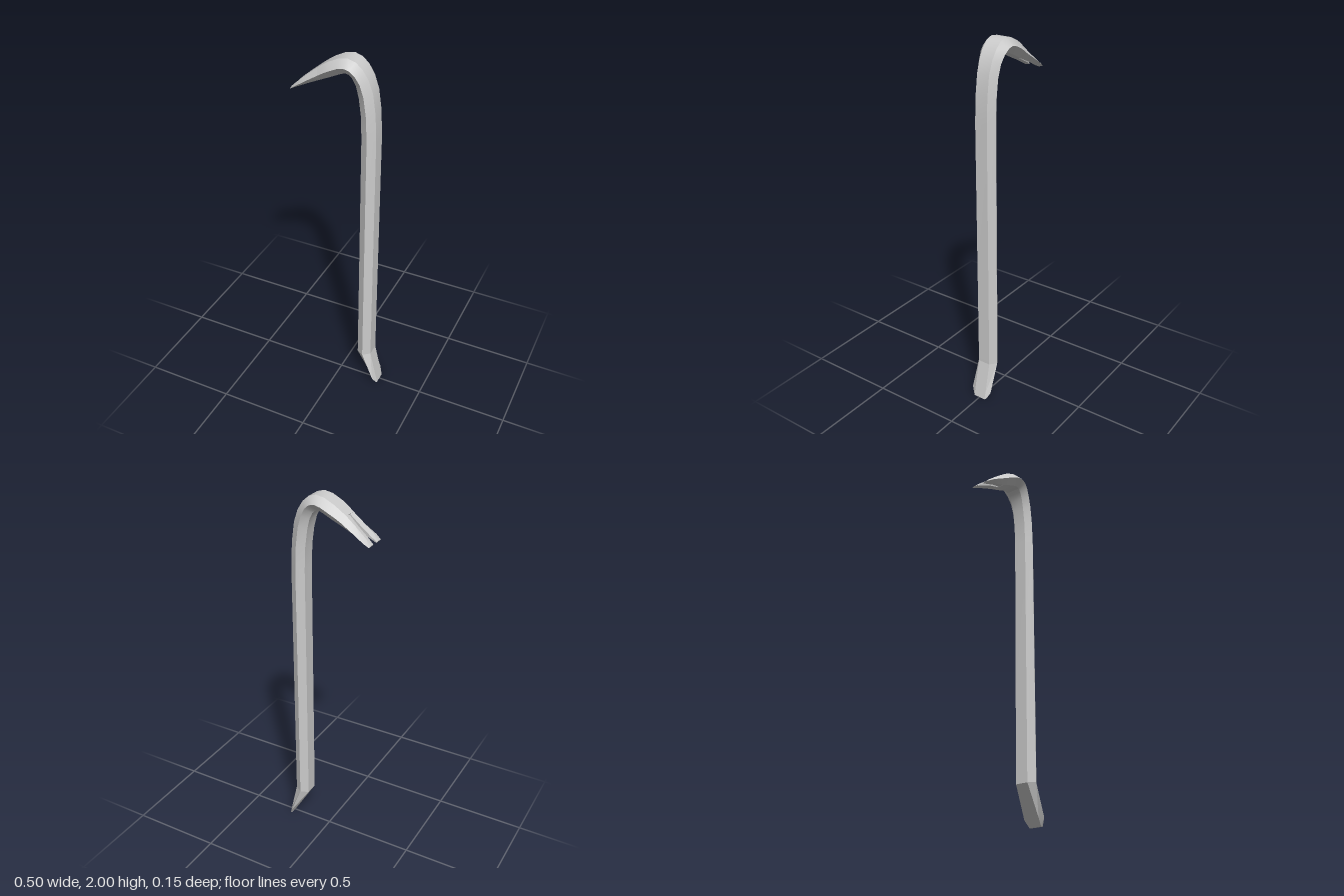
import * as THREE from 'three';
import { toCreasedNormals } from 'three/addons/utils/BufferGeometryUtils.js';

const material = new THREE.MeshStandardMaterial({ color: 0xcccccc });

// Skin a list of closed rings of [x, y, z] points and cap both ends
function loft(name, rings, crease) {
  const pos = [];
  const tri = (...pts) => pts.forEach((p) => pos.push(...p));
  const n = rings[0].length;
  for (let i = 0; i < rings.length - 1; i++) {
    for (let j = 0; j < n; j++) {
      const k = (j + 1) % n;
      const a = rings[i][j], b = rings[i][k], c = rings[i + 1][k], d = rings[i + 1][j];
      tri(a, b, c);
      tri(a, c, d);
    }
  }
  const first = rings[0], last = rings[rings.length - 1];
  for (let j = 1; j < n - 1; j++) {
    tri(first[0], first[j + 1], first[j]);
    tri(last[0], last[j], last[j + 1]);
  }
  const geometry = new THREE.BufferGeometry();
  geometry.setAttribute('position', new THREE.Float32BufferAttribute(pos, 3));
  const mesh = new THREE.Mesh(toCreasedNormals(geometry, crease), material);
  mesh.name = name;
  return mesh;
}

const mix = (a, b, t) => [a[0] + (b[0] - a[0]) * t, a[1] + (b[1] - a[1]) * t];

// Hexagon: outer point, inner point, half width of the flats, half width of the ridges
function hexRing([ox, oy, ix, iy, f, w]) {
  const [mx, my] = mix([ox, oy], [ix, iy], 0.5);
  return [[ox, oy, f], [ox, oy, -f], [mx, my, -w], [ix, iy, -f], [ix, iy, f], [mx, my, w]];
}

// Claw prong section: s is the slot edge, drop is how far its bevel falls
function prongRing([ox, oy, ix, iy, f, w, s, drop], side) {
  const o = [ox, oy], i = [ix, iy];
  const ring = [
    [...o, f * side],
    [...mix(o, i, drop), s * side],
    [...mix(o, i, 1 - drop), s * side],
    [...i, f * side],
    [...mix(o, i, 0.5), w * side],
  ];
  return side > 0 ? ring : ring.reverse();
}

export function createModel() {
  const group = new THREE.Group();
  group.name = 'pryBar';

  // Chisel foot, from its cutting edge up to the shaft
  const foot = [
    [0.247, 0, 0.237, 0, 0.034, 0.04],
    [0.238, 0.04, 0.214, 0.04, 0.035, 0.061],
    [0.2, 0.21, 0.12, 0.2, 0.035, 0.061],
  ];
  group.add(loft('chiselFoot', foot.map(hexRing), 0.2));

  // Straight shaft bending over into the hook
  const bar = [
    [0.2, 0.21, 0.12, 0.2, 0.035, 0.061],
    [0.2, 1.6, 0.122, 1.6, 0.035, 0.061],
    [0.193, 1.74, 0.117, 1.72, 0.035, 0.061],
    [0.178, 1.845, 0.105, 1.81, 0.035, 0.062],
    [0.155, 1.91, 0.09, 1.87, 0.037, 0.065],
    [0.125, 1.957, 0.072, 1.905, 0.039, 0.071],
    [0.09, 1.988, 0.055, 1.92, 0.04, 0.075],
    [0.05, 2, 0.036, 1.924, 0.041, 0.076],
    [0.005, 1.992, 0.012, 1.915, 0.041, 0.076],
    [-0.05, 1.965, -0.03, 1.895, 0.041, 0.075],
    [-0.08, 1.945, -0.055, 1.883, 0.04, 0.071],
    [-0.11, 1.922, -0.085, 1.868, 0.036, 0.067],
  ];
  group.add(loft('shaftAndHook', bar.map(hexRing), 0.5));

  // Two tapering prongs either side of the nail slot
  const prong = [
    [-0.11, 1.922, -0.085, 1.868, 0.036, 0.067, 0.004, 0.04],
    [-0.165, 1.877, -0.145, 1.841, 0.038, 0.069, 0.008, 0.15],
    [-0.222, 1.828, -0.212, 1.809, 0.041, 0.071, 0.012, 0.25],
    [-0.248, 1.803, -0.242, 1.794, 0.041, 0.064, 0.018, 0.25],
  ];
  for (const side of [1, -1]) {
    const name = side > 0 ? 'frontProng' : 'backProng';
    group.add(loft(name, prong.map((p) => prongRing(p, side)), 0.5));
  }
  return group;
}
